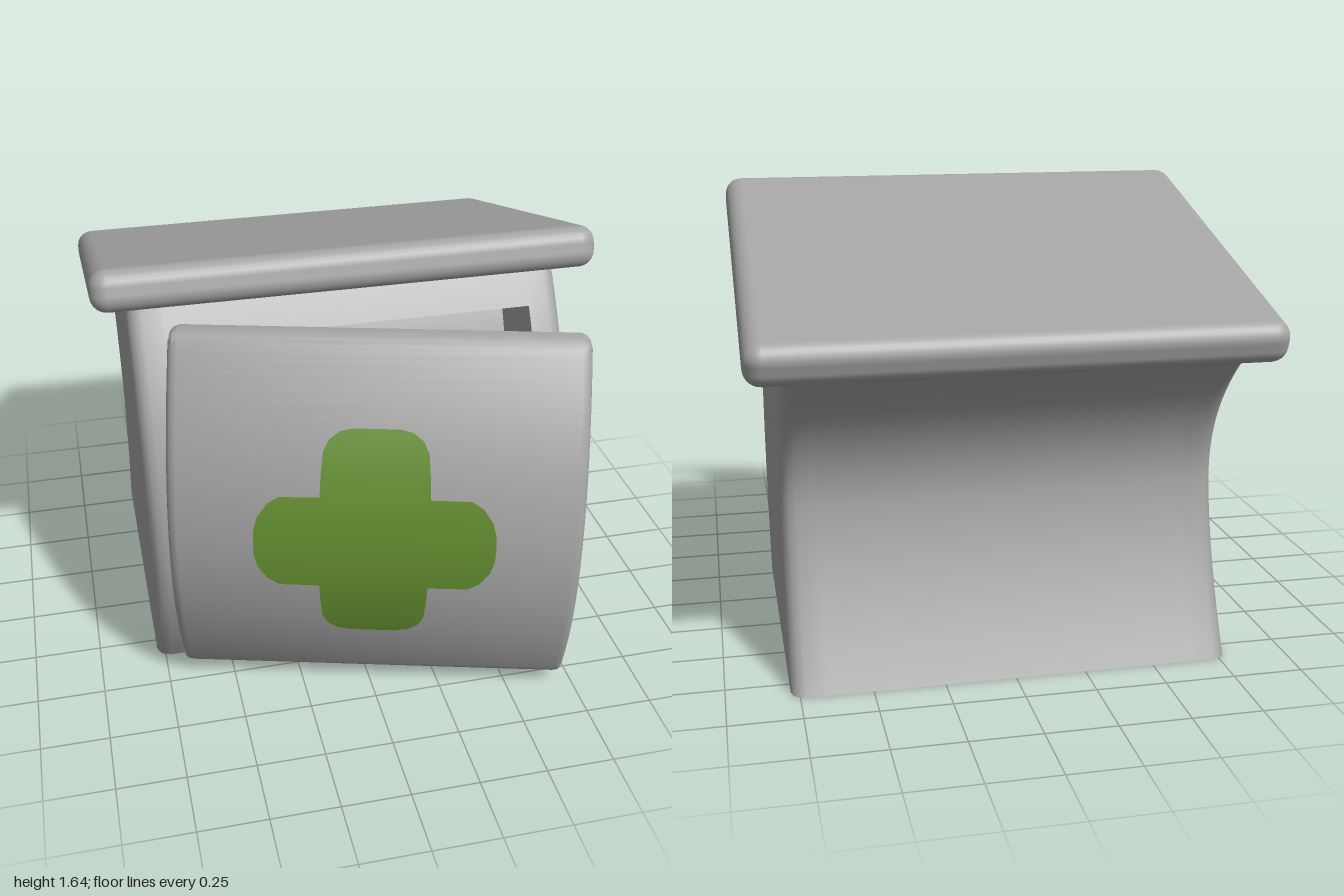
import * as THREE from 'three';
import { toCreasedNormals } from 'three/addons/utils/BufferGeometryUtils.js';
import { RoundedBoxGeometry } from 'three/addons/geometries/RoundedBoxGeometry.js';

// Side profile of the cabinet: z of the bulging front and hollow back at height y
const frontZ = (y) => 0.545 - 0.465 * (y - 0.65) ** 2;
const backZ = (y) => -0.645 - (y > 0.65 ? 1.22 * (y - 0.65) ** 2 : 0.43 * (0.65 - y) ** 1.6);
const FRONT_TOP = 1.48, BACK_TOP = 1.13, ROWS = 28;

const range = (a, b, n) => Array.from({ length: n + 1 }, (_, i) => a + (b - a) * i / n);

// Joins [x, loop] sections (x rising); each loop of [z, y] runs up the front and down the back
function loft(sections) {
  const pos = [];
  const quad = (a, b, c, d) => pos.push(...a, ...b, ...c, ...a, ...c, ...d);
  const at = ([x, loop], k) => {
    const [z, y] = loop[(k + loop.length) % loop.length];
    return [x, y, z];
  };
  const n = sections[0][1].length;
  for (let j = 0; j < sections.length - 1; j++) {
    const s = sections[j], t = sections[j + 1];
    for (let k = 0; k < n; k++) quad(at(s, k), at(t, k), at(t, k + 1), at(s, k + 1));
  }
  const first = sections[0], last = sections[sections.length - 1];
  for (let k = 0; k < n / 2 - 1; k++) {
    quad(at(last, k), at(last, n - 1 - k), at(last, n - 2 - k), at(last, k + 1));
    quad(at(first, k), at(first, k + 1), at(first, n - 2 - k), at(first, n - 1 - k));
  }
  const geo = new THREE.BufferGeometry();
  geo.setAttribute('position', new THREE.Float32BufferAttribute(pos, 3));
  return toCreasedNormals(geo, 0.6);
}

// Cabinet side section, drawn in by d at the front and back
function bodyLoop(d) {
  const front = range(0, FRONT_TOP, ROWS).map((y) => [frontZ(y) - d, y]);
  const back = range(BACK_TOP, 0, ROWS).map((y) => [backZ(y) + d, y]);
  return [...front, ...back];
}

// Middle of the cabinet: same profile with two compartments cut into the front
function shelvesGeometry() {
  const bands = [[0, 0.17, 0], [0.17, 0.65, 0.35], [0.65, 0.9, 0], [0.9, 1.36, 0.35], [1.36, FRONT_TOP, 0]];
  const pts = [];
  for (const [y0, y1, depth] of bands)
    for (const y of range(y0, y1, 8)) pts.push(new THREE.Vector2(depth - frontZ(y), y));
  for (const y of range(BACK_TOP, 0, ROWS)) pts.push(new THREE.Vector2(-backZ(y), y));
  const geo = new THREE.ExtrudeGeometry(new THREE.Shape(pts), { depth: 1.32, bevelEnabled: false });
  geo.rotateY(Math.PI / 2).translate(-0.66, 0, 0);
  return toCreasedNormals(geo, 0.6);
}

// Door section: thin curved panel with rounded edges, d = inset of the face, e = inset of the ends
const DOOR_W = 1.44, DOOR_T = 0.06;
function doorLoop(d, e) {
  const y0 = 0.055 + e, y1 = 1.425 - e, r = 0.035;
  const ys = range(0, Math.PI, 32).map((a) => y0 + (y1 - y0) * (1 - Math.cos(a)) / 2);
  const outer = ys.map((y) => {
    const q = Math.min(r, y - y0, y1 - y);
    const round = r - Math.sqrt(Math.max(0, r * r - (r - q) ** 2));
    return [frontZ(y) + DOOR_T - Math.max(d, round), y];
  });
  const inner = [...ys].reverse().map((y) => [frontZ(y), y]);
  return [...outer, ...inner];
}

// Cross painted on the door: horizontal strips of changing width that follow its curve
function crossGeometry() {
  const half = [[0.405, 0.08], [0.395, 0.125], [0.37, 0.16], [0.33, 0.18], [0.25, 0.187], [0.176, 0.19],
    [0.175, 0.33], [0.15, 0.37], [0.1, 0.405], [0.05, 0.418]];
  const outline = [...half.map(([y, w]) => [-y, w]), [0, 0.42], ...[...half].reverse()];
  const rows = [];
  for (let i = 0; i < outline.length - 1; i++)
    for (const t of [0, 0.33, 0.67])
      rows.push([0, 1].map((k) => outline[i][k] + (outline[i + 1][k] - outline[i][k]) * t));
  rows.push(outline[outline.length - 1]);
  const pos = [], idx = [];
  rows.forEach(([dy, w], i) => {
    const y = 0.755 + dy, z = frontZ(y) + DOOR_T + 0.005;
    pos.push(DOOR_W / 2 - w, y, z, DOOR_W / 2 + w, y, z);
    const a = 2 * i;
    if (i < rows.length - 1) idx.push(a, a + 1, a + 3, a, a + 3, a + 2);
  });
  const geo = new THREE.BufferGeometry();
  geo.setAttribute('position', new THREE.Float32BufferAttribute(pos, 3));
  geo.setIndex(idx);
  geo.computeVertexNormals();
  return geo;
}

export function createModel() {
  const material = (name, color) => {
    const m = new THREE.MeshStandardMaterial({ color });
    m.name = name;
    return m;
  };
  const grey = material('cabinet grey', 0xa4a4a4);
  const pale = material('jar pale grey', 0xc4c4c4);
  const green = material('cross green', 0x648f30);

  const model = new THREE.Group();
  model.name = 'medicineCabinet';
  const add = (name, geo, mat, parent = model) => {
    const mesh = new THREE.Mesh(geo, mat);
    mesh.name = name;
    parent.add(mesh);
    return mesh;
  };

  // Cabinet body
  add('shelves', shelvesGeometry(), grey);
  const side = [[0.66, 0], [0.73, 0], [0.755, 0.008], [0.772, 0.024], [0.78, 0.05]];
  add('leftSide', loft(side.map(([x, d]) => [x, bodyLoop(d)])), grey);
  add('rightSide', loft([...side].reverse().map(([x, d]) => [-x, bodyLoop(d)])), grey);

  // Sloping lid
  const lid = add('lid', new RoundedBoxGeometry(1.8, 0.15, 1.385, 3, 0.06), grey);
  lid.position.set(0, 1.375, -0.333);
  lid.rotation.x = -0.3;

  // Jars on the upper shelf
  const jarProfile = [[0, 0.9], [0.11, 0.9], [0.13, 0.93], [0.13, 1.0], [0.1, 1.05], [0.1, 1.065], [0.132, 1.07],
    [0.142, 1.085], [0.142, 1.115], [0.132, 1.13], [0.1, 1.135], [0.1, 1.18], [0.085, 1.195], [0, 1.195]];
  const jarGeo = toCreasedNormals(
    new THREE.LatheGeometry(jarProfile.map(([r, y]) => new THREE.Vector2(r, y)), 24), 0.7);
  for (const x of [-0.38, 0.05, 0.445]) add('jar', jarGeo, pale).position.set(x, 0, 0.36);

  // Door, swung open about its right edge
  const door = new THREE.Group();
  door.name = 'door';
  door.position.set(-0.57, 0, 0.036);
  door.rotation.y = -0.267;
  model.add(door);
  const edge = [[0, 0.035, 0.035], [0.004, 0.022, 0.02], [0.015, 0.009, 0.008], [0.035, 0, 0]];
  add('doorPanel', loft([
    ...edge.map(([x, d, e]) => [x, doorLoop(d, e)]),
    ...[...edge].reverse().map(([x, d, e]) => [DOOR_W - x, doorLoop(d, e)]),
  ]), grey, door);
  add('cross', crossGeometry(), green, door);

  return model;
}
